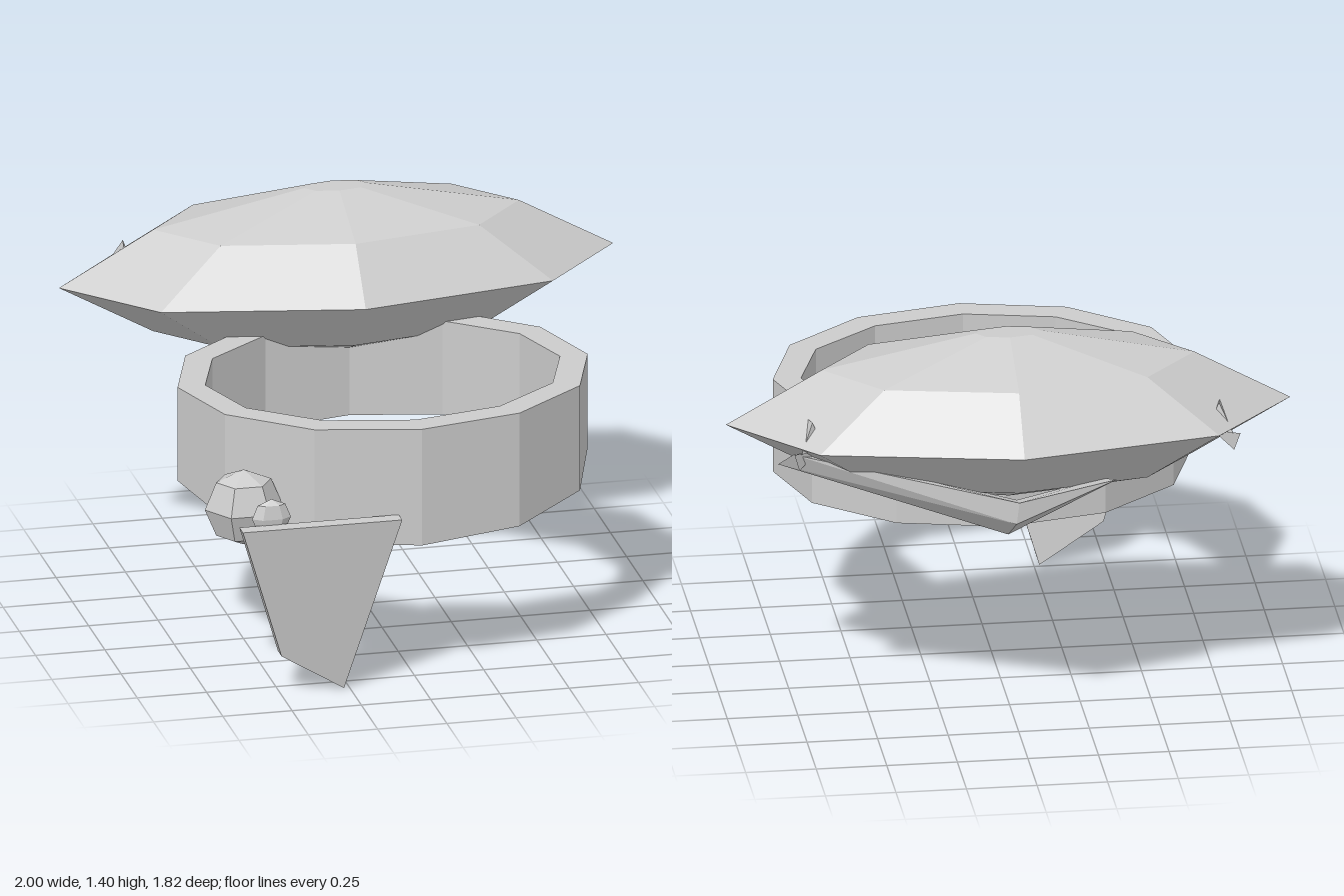
import * as THREE from 'three';
import { ConvexGeometry } from 'three/addons/geometries/ConvexGeometry.js';

const material = new THREE.MeshStandardMaterial({ color: 0xcccccc, flatShading: true });

function add(group, name, geometry) {
  const mesh = new THREE.Mesh(geometry, material);
  mesh.name = name;
  group.add(mesh);
  return mesh;
}

const hull = (points) => new ConvexGeometry(points.map((p) => new THREE.Vector3(...p)));
const profile = (points) => points.map((p) => new THREE.Vector2(...p));

// Twelve-sided oval band whose lower edge drops towards the front
function bandGeometry() {
  const outer = 0.74, inner = 0.64, top = 0.965, bottom = 0.615;
  const geometry = new THREE.LatheGeometry(profile([
    [inner, bottom], [outer, bottom], [outer, top], [inner, top], [inner, bottom],
  ]), 12);
  const pos = geometry.attributes.position;
  for (let i = 0; i < pos.count; i++) {
    const x = pos.getX(i), z = pos.getZ(i), r = Math.hypot(x, z);
    const sine = z / r;
    if (pos.getY(i) < 0.8) pos.setY(i, bottom - 0.085 * Math.max(0, sine));
    pos.setZ(i, 0.26 + sine * (r - 0.13));
  }
  geometry.computeVertexNormals();
  return geometry;
}

// Slanted four-cornered plate, leaning back towards its point
function plateGeometry() {
  const shape = new THREE.Shape(profile([[-0.655, 0.645], [-0.5, 0.145], [-0.27, 0], [-0.08, 0.645]]));
  const geometry = new THREE.ExtrudeGeometry(shape, { depth: 0.055, bevelEnabled: false });
  const pos = geometry.attributes.position;
  for (let i = 0; i < pos.count; i++) {
    pos.setZ(i, pos.getZ(i) + 0.85 + (pos.getY(i) - 0.645) * 0.135);
  }
  geometry.computeVertexNormals();
  return geometry;
}

export function createModel() {
  const model = new THREE.Group();
  model.name = 'bandWithFacetedTop';

  add(model, 'band', bandGeometry());

  // Faceted eight-sided body, flattened front to back
  const body = add(model, 'facetedBody', new THREE.LatheGeometry(profile([
    [0, 0.8], [0.115, 0.8], [0.66, 0.91], [1, 1.1], [0.66, 1.29], [0.115, 1.4], [0, 1.4],
  ]), 8));
  body.scale.z = 0.458;
  body.position.z = -0.458;

  // Bent bar across the back of the body
  const bend = [[0.04, 0.76, -0.77], [0.02, 0.83, -0.85], [0.01, 0.91, -0.85], [0, 0.86, -0.7]];
  add(model, 'longBar', hull([...bend, [0.84, 1.02, -0.65], [0.79, 1.07, -0.69], [0.72, 1.04, -0.6]]));
  add(model, 'shortBar', hull([...bend, [-0.34, 0.96, -0.8], [-0.3, 0.92, -0.68]]));

  // Small spikes on both sides, above and below the girdle
  const spikes = {
    upperSpike: [[0.72, 1.18, -0.67], [0.73, 1.17, -0.61], [0.765, 1.08, -0.72], [0.68, 1.08, -0.66]],
    lowerSpike: [[0.77, 1.02, -0.585], [0.79, 1.08, -0.72], [0.77, 1.01, -0.7], [0.7, 1.07, -0.66]],
  };
  for (const [side, s] of [['left', 1], ['right', -1]]) {
    for (const [name, points] of Object.entries(spikes)) {
      add(model, `${side} ${name}`, hull(points.map(([x, y, z]) => [s * x, y, z])));
    }
  }

  // Hanging plate and the two beads above it
  add(model, 'hangingPlate', plateGeometry());
  const bead = add(model, 'largeBead', new THREE.SphereGeometry(0.14, 6, 4));
  bead.scale.z = 0.89;
  bead.position.set(-0.605, 0.665, 0.702);
  const smallBead = add(model, 'smallBead', new THREE.SphereGeometry(0.07, 6, 4));
  smallBead.scale.z = 0.4;
  smallBead.position.set(-0.535, 0.665, 0.832);

  return model;
}
